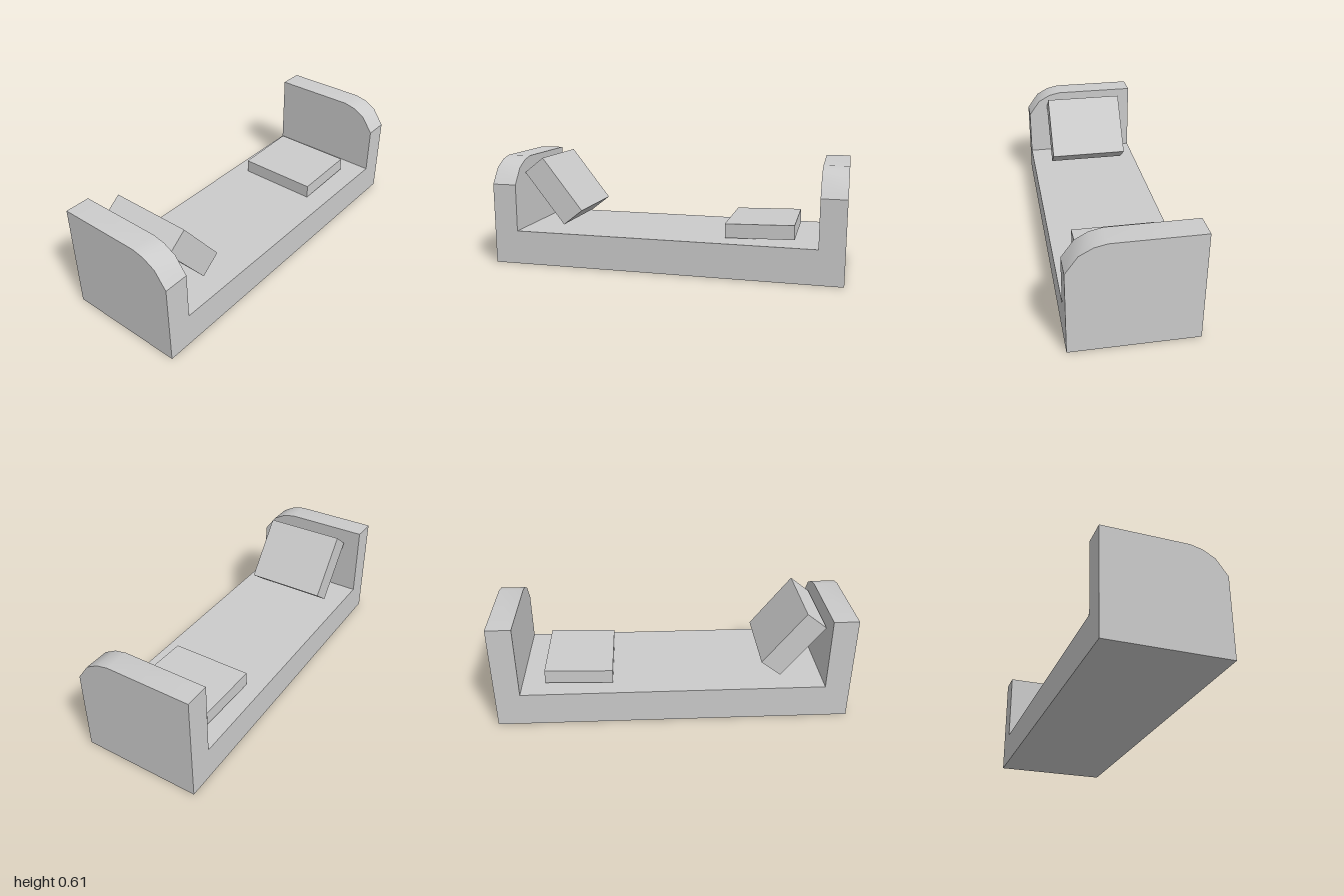
import * as THREE from 'three';
import { toCreasedNormals } from 'three/addons/utils/BufferGeometryUtils.js';

const material = new THREE.MeshStandardMaterial({ color: 0xcccccc });

// U-shaped body: one solid for the seat and both arms, with the arm tops curving down at the front
function createFrame() {
  const arm = 0.86, seat = 0.195, top = 0.612;
  const outline = new THREE.Shape([
    [-1, 0], [1, 0], [1, top], [arm, top], [arm, seat], [-arm, seat], [-arm, top], [-1, top],
  ].map(([x, y]) => new THREE.Vector2(x, y)));

  // Stations from back to front: [z, height of the arm top]
  const stations = [[-0.341, top], [0.137, top], [0.205, 0.597], [0.275, 0.558], [0.341, 0.466]];
  const steps = stations.length - 1;
  const geometry = new THREE.ExtrudeGeometry(outline, { depth: steps, steps, bevelEnabled: false });
  const p = geometry.attributes.position;
  for (let i = 0; i < p.count; i++) {
    const [z, height] = stations[Math.round(p.getZ(i))];
    p.setZ(i, z);
    if (p.getY(i) > seat + 0.1) p.setY(i, height);
  }
  const frame = new THREE.Mesh(toCreasedNormals(geometry, 0.55), material);
  frame.name = 'seatAndArms';
  return frame;
}

// Plain cushion tilted in the front plane
function createCushion(name, thickness, x, y, tilt) {
  const cushion = new THREE.Mesh(new THREE.BoxGeometry(0.383, thickness, 0.468), material);
  cushion.name = name;
  cushion.position.set(x, y, -0.01);
  cushion.rotation.z = tilt;
  return cushion;
}

export function createModel() {
  const model = new THREE.Group();
  model.name = 'couch';
  model.add(
    createFrame(),
    createCushion('leaningCushion', 0.143, -0.678, 0.417, -0.909), // propped against the right arm
    createCushion('flatCushion', 0.08, 0.535, 0.245, 0.028), // lying on the seat
  );
  return model;
}
